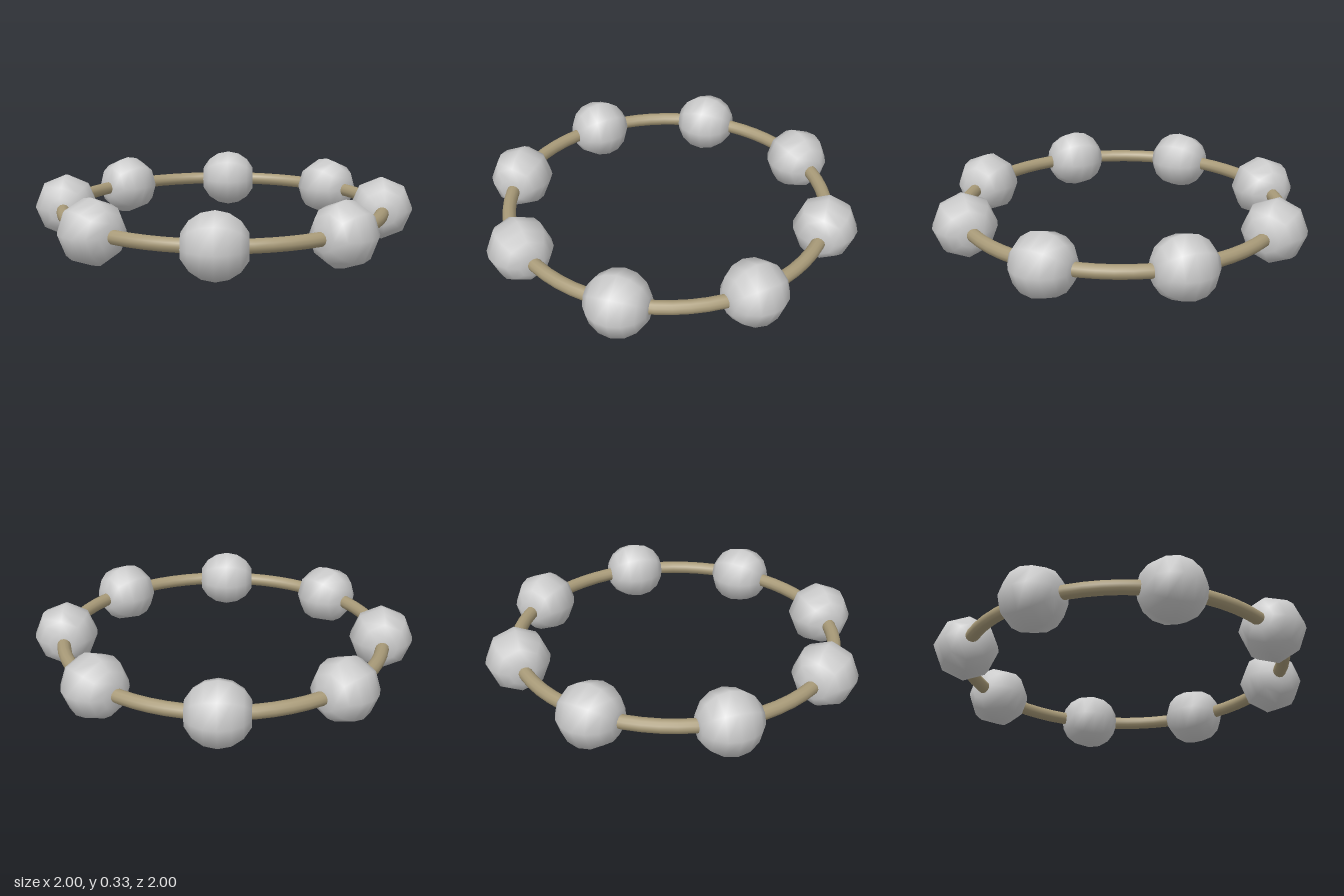
import * as THREE from 'three';

const RING_R = 0.835, CORD_R = 0.035, BEAD_R = 0.165, BEADS = 8;

// Eight-sided bead turned around the cord, flattened where the cord enters
function beadGeometry() {
  const start = THREE.MathUtils.degToRad(23), steps = 6;
  const points = [new THREE.Vector2(0, -BEAD_R * Math.cos(start))];
  for (let i = 0; i <= steps; i++) {
    const a = start + (Math.PI - 2 * start) * (i / steps);
    points.push(new THREE.Vector2(BEAD_R * Math.sin(a), -BEAD_R * Math.cos(a)));
  }
  points.push(new THREE.Vector2(0, BEAD_R * Math.cos(start)));
  const geo = new THREE.LatheGeometry(points, 8);
  geo.rotateX(Math.PI / 2);
  geo.translate(RING_R, 0, 0);
  return geo;
}

export function createModel() {
  const model = new THREE.Group();
  model.name = 'beadedRing';
  const beadMaterial = new THREE.MeshStandardMaterial({ color: 0xcccccc });
  const cordMaterial = new THREE.MeshStandardMaterial({ color: 0xa89a78 });

  // Round cord lying flat
  const cord = new THREE.Mesh(new THREE.TorusGeometry(RING_R, CORD_R, 12, 64), cordMaterial);
  cord.name = 'cord';
  cord.rotation.x = -Math.PI / 2;
  cord.position.y = BEAD_R;
  model.add(cord);

  // Evenly spaced beads, the whole row turned very slightly
  const geo = beadGeometry();
  for (let i = 0; i < BEADS; i++) {
    const bead = new THREE.Mesh(geo, beadMaterial);
    bead.name = `bead${i + 1}`;
    bead.rotation.y = (i / BEADS) * Math.PI * 2 - 0.009;
    bead.position.y = BEAD_R;
    model.add(bead);
  }
  return model;
}
